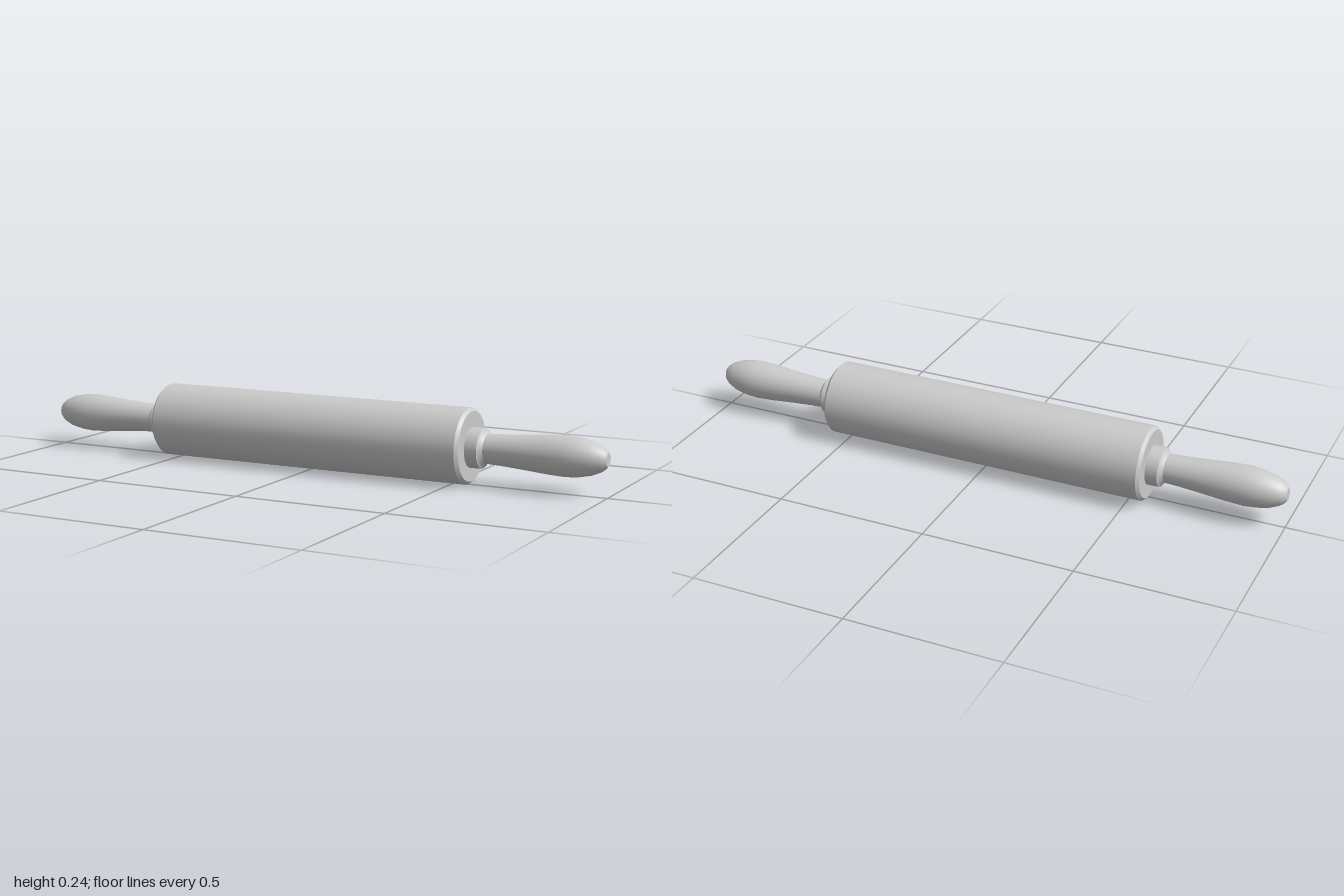
import * as THREE from 'three';
import { mergeGeometries } from 'three/addons/utils/BufferGeometryUtils.js';

const material = new THREE.MeshStandardMaterial({ color: 0xcccccc });

// Turned part along +x: each [radius, x] run is smooth, with sharp edges between runs.
function turned(name, runs, sides) {
  const parts = runs.map((run) =>
    new THREE.LatheGeometry(run.map(([r, x]) => new THREE.Vector2(r, x)), sides));
  const geometry = mergeGeometries(parts);
  geometry.rotateZ(-Math.PI / 2);
  const mesh = new THREE.Mesh(geometry, material);
  mesh.name = name;
  return mesh;
}

export function createModel() {
  const model = new THREE.Group();
  model.name = 'rollingPin';

  // Barrel with small chamfers at both ends
  const R = 0.121, L = 0.558, c = 0.01;
  const barrel = turned('barrel', [
    [[0, -L], [R - c, -L]],
    [[R - c, -L], [R, -L + c]],
    [[R, -L + c], [R, L - c]],
    [[R, L - c], [R - c, L]],
    [[R - c, L], [0, L]],
  ], 36);
  barrel.position.y = R;
  model.add(barrel);

  // Handles: collar, narrow neck, swelling grip and a small flat tip
  for (const side of [1, -1]) {
    const handle = turned(side > 0 ? 'leftHandle' : 'rightHandle', [
      [[0.064, 0.54], [0.064, 0.598]],
      [[0.064, 0.598], [0.056, 0.601], [0.047, 0.612]],
      [[0.047, 0.612], [0.049, 0.66], [0.055, 0.74], [0.061, 0.81], [0.064, 0.87],
        [0.061, 0.91], [0.053, 0.95], [0.04, 0.98], [0.03, 0.993], [0.021, 1]],
      [[0.021, 1], [0, 1]],
    ], 28);
    handle.position.y = 0.118;
    if (side < 0) handle.rotation.y = Math.PI;
    model.add(handle);
  }
  return model;
}
